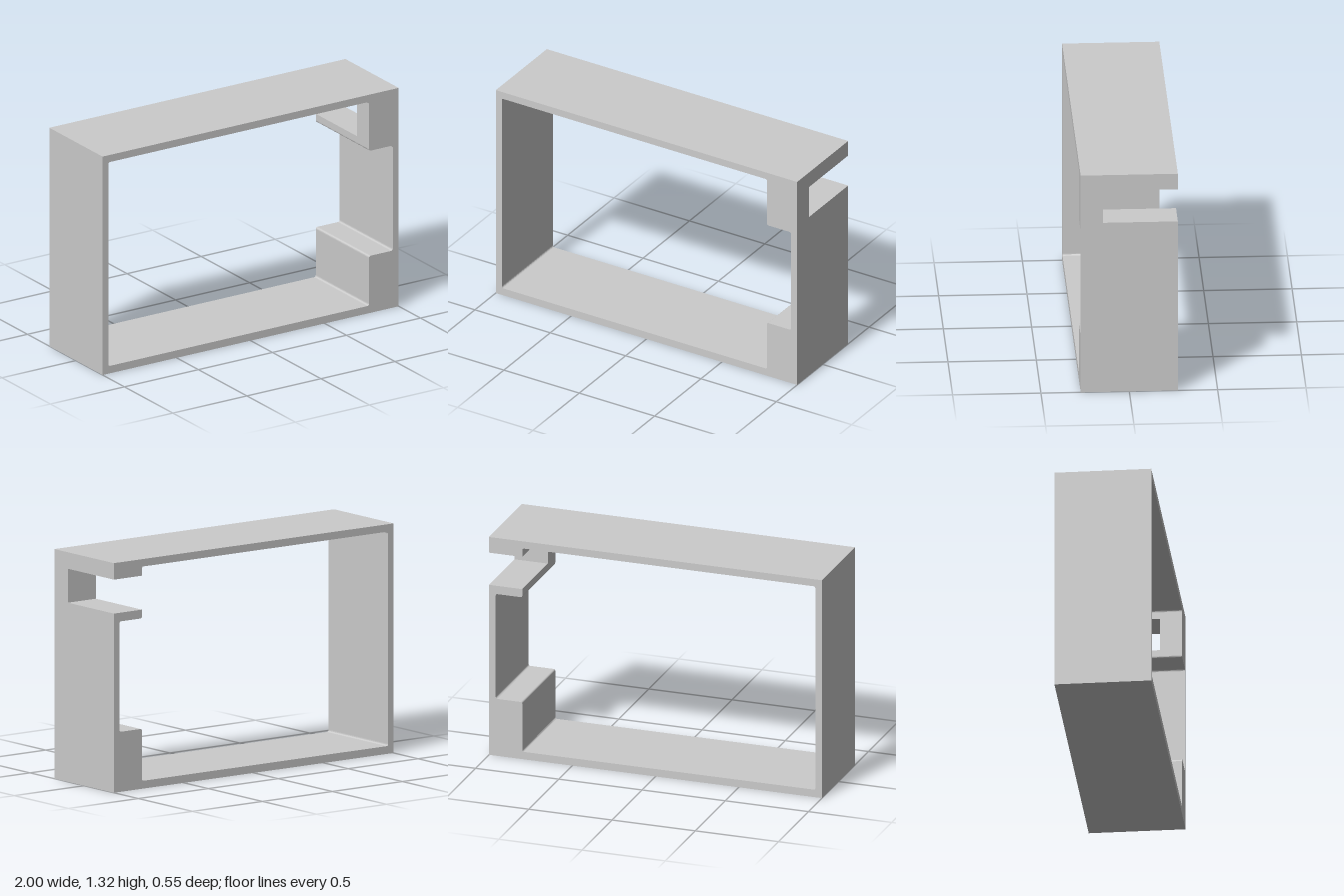
import * as THREE from 'three';

const H = 1.32, BACK = -0.275, SLOT = 0.15, FRONT = 0.275;
const SLOT_LOW = 1.03, SLOT_HIGH = 1.225, BLOCK_X = 0.8;
const FILLET = 0.012;

// Traces corners [x, y, rounded?] onto a path, with a small fillet where asked
function trace(path, corners) {
  const n = corners.length;
  corners.forEach(([x, y, rounded], i) => {
    const toward = ([px, py]) => {
      const d = Math.hypot(px - x, py - y);
      return [x + ((px - x) * FILLET) / d, y + ((py - y) * FILLET) / d];
    };
    const a = rounded ? toward(corners[(i + n - 1) % n]) : [x, y];
    if (i === 0) path.moveTo(...a);
    else path.lineTo(...a);
    if (rounded) path.quadraticCurveTo(x, y, ...toward(corners[(i + 1) % n]));
  });
  path.closePath();
  return path;
}

// Extrudes a shape between two depths, keeping only its front or back cap
function slab(shape, z0, z1, keepFront) {
  const full = new THREE.ExtrudeGeometry(shape, { depth: z1 - z0, bevelEnabled: false, curveSegments: 4 });
  const caps = full.groups[0].count, half = caps / 2;
  const geometry = new THREE.BufferGeometry();
  for (const name of ['position', 'normal']) {
    const src = full.attributes[name].array;
    const kept = keepFront
      ? src.slice(half * 3)
      : Float32Array.from([...src.slice(0, half * 3), ...src.slice(caps * 3)]);
    geometry.setAttribute(name, new THREE.BufferAttribute(kept, 3));
  }
  return geometry.translate(0, 0, z0);
}

export function createModel() {
  const group = new THREE.Group();
  group.name = 'frame';
  const material = new THREE.MeshStandardMaterial({ color: 0xcccccc });
  const add = (name, geometry) => {
    const mesh = new THREE.Mesh(geometry, material);
    mesh.name = name;
    group.add(mesh);
    return mesh;
  };

  // Inner opening, stepped around the two corner blocks
  const opening = [
    [BLOCK_X, 0.98, true], [0.96, 0.98, true], [0.96, 0.345, true], [BLOCK_X, 0.345, true],
    [BLOCK_X, 0.045, true], [-0.96, 0.045, true], [-0.96, 1.277, true], [BLOCK_X, 1.277, true],
  ];

  // Front of the frame: closed ring
  const ring = trace(new THREE.Shape(), [[-1, 0], [1, 0], [1, H], [-1, H]]);
  ring.holes.push(trace(new THREE.Path(), opening));
  add('frontRing', slab(ring, SLOT, FRONT, true));

  // Rear of the frame: the ring is cut open by the slot in the upper block
  const cutRing = trace(new THREE.Shape(), [
    [-1, 0], [1, 0], [1, SLOT_LOW], [BLOCK_X, SLOT_LOW],
    ...opening,
    [BLOCK_X, SLOT_HIGH], [1, SLOT_HIGH], [1, H], [-1, H],
  ]);
  add('slottedRearRing', slab(cutRing, BACK, SLOT, false));

  // End wall of the slot, facing the back
  const wall = add('slotEndWall', new THREE.PlaneGeometry(1 - BLOCK_X, SLOT_HIGH - SLOT_LOW));
  wall.rotation.y = Math.PI;
  wall.position.set((1 + BLOCK_X) / 2, (SLOT_LOW + SLOT_HIGH) / 2, SLOT);

  return group;
}
